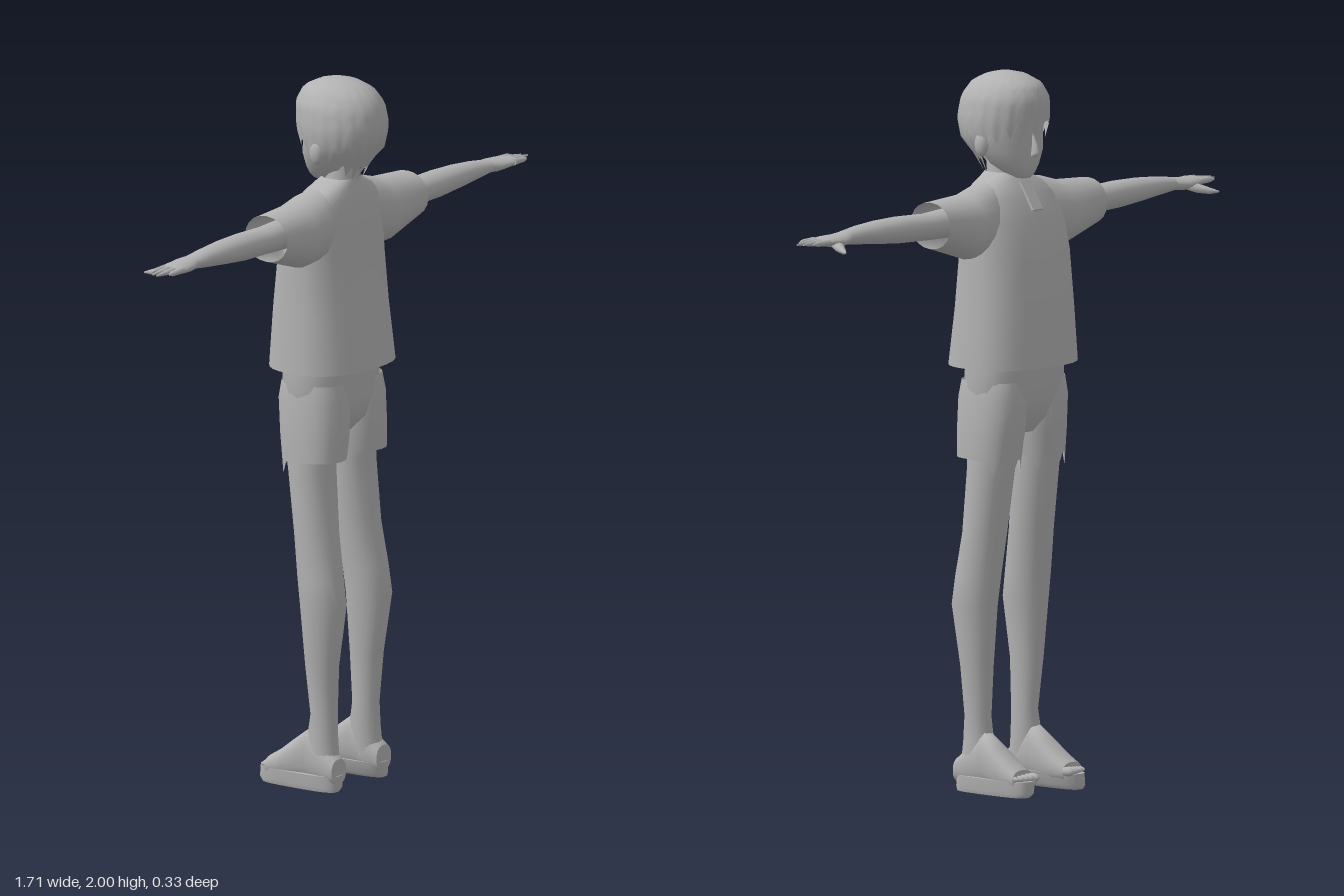
import * as THREE from 'three';

const clay = new THREE.MeshStandardMaterial({ color: 0xb2b2b2, side: THREE.DoubleSide });
clay.name = 'plain grey';

// Closed skin through rings of points, optionally capped at both ends
function skin(rings, cap = true) {
  const n = rings[0].length, pos = [], idx = [];
  rings.forEach(r => r.forEach(p => pos.push(...p)));
  for (let k = 0; k < rings.length - 1; k++) for (let i = 0; i < n; i++) {
    const j = (i + 1) % n, a = k * n + i, b = k * n + j;
    idx.push(a, a + n, b, b, a + n, b + n);
  }
  if (cap) [0, rings.length - 1].forEach((k, end) => {
    const r = rings[k], base = pos.length / 3;
    r.forEach(p => pos.push(...p));
    pos.push(...[0, 1, 2].map(c => r.reduce((s, p) => s + p[c], 0) / n));
    for (let i = 0; i < n; i++) {
      const j = (i + 1) % n;
      idx.push(base + n, base + (end ? j : i), base + (end ? i : j));
    }
  });
  const g = new THREE.BufferGeometry();
  g.setAttribute('position', new THREE.Float32BufferAttribute(pos, 3));
  g.setIndex(idx);
  g.computeVertexNormals();
  return g;
}

// Rounded sections [position, a0, a1, b0, b1] along an axis; (a, b) is xz for y, zy for x, yx for z
function loft(axis, sections, { n = 20, power = 1, cap = true } = {}) {
  const round = v => Math.sign(v) * Math.abs(v) ** power;
  return skin(sections.map(([t, a0, a1, b0, b1]) => Array.from({ length: n }, (_, i) => {
    const th = i / n * Math.PI * 2;
    const a = (a0 + a1) / 2 + (a1 - a0) / 2 * round(Math.cos(th));
    const b = (b0 + b1) / 2 + (b1 - b0) / 2 * round(Math.sin(th));
    return axis === 'y' ? [a, t, b] : axis === 'x' ? [t, b, a] : [b, a, t];
  })), cap);
}

function mirrored(geometry) {
  const g = geometry.clone().scale(-1, 1, 1), ix = g.index.array;
  for (let i = 0; i < ix.length; i += 3) [ix[i], ix[i + 1]] = [ix[i + 1], ix[i]];
  g.computeVertexNormals();
  return g;
}

// Bowl of hair with ridged locks and a jagged rim
function hairGeometry() {
  const profile = [ // y, front z, back z, half width
    [2, 0, 0.04, 0.015], [1.992, -0.04, 0.08, 0.05], [1.97, -0.085, 0.125, 0.085],
    [1.93, -0.105, 0.155, 0.11], [1.87, -0.1, 0.165, 0.119], [1.81, -0.088, 0.15, 0.112],
    [1.77, -0.07, 0.11, 0.085], [1.7, -0.05, 0.08, 0.05]];
  const at = y => {
    let k = 0;
    while (k < profile.length - 2 && profile[k + 1][0] > y) k++;
    const p = profile[k], q = profile[k + 1], f = (p[0] - y) / (p[0] - q[0]);
    return p.map((v, c) => v + (q[c] - v) * f);
  };
  const n = 60, rows = 14, rings = [];
  for (let r = rows; r >= 0; r--) rings.push(Array.from({ length: n }, (_, i) => {
    const th = i / n * Math.PI * 2, t = r / rows;
    const jag = [0, -0.025, 0.012][i % 3] + 0.008 * Math.sin(i * 2.3);
    const rim = 1.86 - 0.12 * (Math.sin(th) + 1) / 2 + jag;
    const y = 2 - (2 - rim) * t ** 1.6;
    const [, zf, zb, w] = at(y), s = 1 + 0.025 * t * ((i % 3) - 1.3);
    return [w * s * Math.cos(th), y, (zf + zb) / 2 + (zb - zf) / 2 * s * Math.sin(th)];
  }));
  const top = rings[rings.length - 1];
  rings.push(top.map(() => [0, 2, 0.02]));
  return skin(rings, false);
}

export function createModel() {
  const model = new THREE.Group();
  model.name = 'standing child';
  const add = (name, geometry, parent = model) => {
    const m = new THREE.Mesh(geometry, clay);
    m.name = name;
    parent.add(m);
    return m;
  };
  const pair = (name, geometry) => {
    add('left ' + name, geometry);
    add('right ' + name, mirrored(geometry));
  };

  // Head and neck; the face looks toward -z
  add('head', loft('y', [
    [1.708, -0.02, 0.02, -0.062, -0.02], [1.722, -0.042, 0.042, -0.072, 0.02],
    [1.745, -0.066, 0.066, -0.078, 0.06], [1.785, -0.092, 0.092, -0.082, 0.09],
    [1.83, -0.104, 0.104, -0.078, 0.12], [1.87, -0.106, 0.106, -0.085, 0.14],
    [1.93, -0.09, 0.09, -0.08, 0.13], [1.97, -0.04, 0.04, -0.04, 0.08]], { n: 28 }));
  add('neck', loft('y', [[1.66, -0.06, 0.06, -0.03, 0.08], [1.72, -0.046, 0.046, -0.015, 0.078],
    [1.8, -0.046, 0.046, -0.02, 0.085]]));
  add('nose', loft('y', [[1.768, -0.012, 0.012, -0.085, -0.06], [1.782, -0.012, 0.012, -0.106, -0.06],
    [1.805, -0.007, 0.007, -0.092, -0.06], [1.835, -0.004, 0.004, -0.079, -0.06]], { n: 10 }));
  add('hair', hairGeometry());
  pair('ear', new THREE.SphereGeometry(1, 12, 8).scale(0.016, 0.034, 0.022).translate(0.104, 1.805, 0.02));

  // Loose shirt
  add('shirt body', loft('y', [
    [1.19, -0.19, 0.19, -0.152, 0.145], [1.35, -0.178, 0.178, -0.142, 0.125],
    [1.5, -0.172, 0.172, -0.125, 0.108], [1.6, -0.17, 0.17, -0.098, 0.1],
    [1.66, -0.15, 0.15, -0.068, 0.092], [1.69, -0.115, 0.115, -0.048, 0.085],
    [1.71, -0.075, 0.075, -0.032, 0.08], [1.722, -0.052, 0.052, -0.022, 0.078]],
  { n: 28, power: 0.82, cap: false }));
  pair('sleeve', loft('x', [
    [0.06, -0.03, 0.07, 1.55, 1.705], [0.13, -0.072, 0.095, 1.5, 1.694],
    [0.19, -0.074, 0.092, 1.495, 1.677], [0.325, -0.062, 0.085, 1.538, 1.668]],
  { power: 0.95, cap: false }));
  const placket = add('collar placket', new THREE.BoxGeometry(0.04, 0.09, 0.008));
  placket.position.set(0, 1.66, -0.07);
  placket.rotation.x = 0.58;

  // Arms and hands
  pair('arm', loft('x', [
    [0.18, -0.03, 0.06, 1.56, 1.65], [0.34, -0.034, 0.058, 1.565, 1.64],
    [0.45, -0.028, 0.06, 1.568, 1.644], [0.54, -0.024, 0.058, 1.576, 1.642],
    [0.62, -0.016, 0.052, 1.584, 1.636], [0.69, -0.012, 0.046, 1.592, 1.626]], { n: 16 }));
  pair('palm', loft('x', [
    [0.67, -0.012, 0.046, 1.592, 1.628], [0.71, -0.026, 0.052, 1.588, 1.624],
    [0.75, -0.022, 0.058, 1.592, 1.622], [0.785, -0.01, 0.054, 1.598, 1.618]], { n: 14 }));
  [[0.83, -0.006], [0.85, 0.012], [0.856, 0.03], [0.825, 0.05]].forEach(([tip, z], i) =>
    pair('finger ' + (i + 1), loft('x', [
      [0.765, z - 0.01, z + 0.01, 1.599, 1.618], [0.81, z - 0.008, z + 0.008, 1.6, 1.616],
      [tip, z - 0.002, z + 0.002, 1.605, 1.61]], { n: 8 })));
  pair('thumb', loft('z', [[-0.075, 1.583, 1.588, 0.77, 0.774], [-0.055, 1.578, 1.596, 0.748, 0.769],
    [-0.025, 1.58, 1.606, 0.722, 0.762], [0.01, 1.592, 1.612, 0.7, 0.75]], { n: 8 }));

  // Shorts with ragged hems
  add('shorts seat', loft('y', [
    [1.0, -0.06, 0.06, -0.06, 0.05], [1.04, -0.13, 0.13, -0.09, 0.085],
    [1.1, -0.158, 0.158, -0.112, 0.1], [1.22, -0.152, 0.152, -0.12, 0.1]], { n: 24, power: 0.85 }));
  const shortsLeg = loft('y', [
    [0.935, 0.018, 0.167, -0.086, 0.096], [1.0, 0.008, 0.166, -0.098, 0.1],
    [1.1, 0.004, 0.16, -0.108, 0.1], [1.15, 0.02, 0.15, -0.1, 0.09]],
  { n: 24, power: 0.88, cap: false });
  const sp = shortsLeg.attributes.position;
  for (let i = 0; i < 24; i++) if (sp.getZ(i) < 0) sp.setY(i, i % 3 ? 0.93 : 0.892);
  shortsLeg.computeVertexNormals();
  pair('shorts leg', shortsLeg);

  // Bare legs
  pair('leg', loft('y', [
    [0.06, 0.062, 0.138, 0, 0.09], [0.14, 0.06, 0.136, -0.01, 0.082], [0.21, 0.063, 0.13, 0, 0.08],
    [0.35, 0.062, 0.144, -0.012, 0.088], [0.52, 0.048, 0.163, -0.024, 0.112],
    [0.6, 0.045, 0.162, -0.034, 0.1], [0.72, 0.036, 0.158, -0.048, 0.078],
    [0.9, 0.024, 0.16, -0.07, 0.062], [1.06, 0.03, 0.15, -0.08, 0.07]]));

  // Feet: shoe upper, wedge sole, toes
  pair('shoe upper', loft('z', [
    [-0.13, 0.02, 0.075, 0.062, 0.144], [-0.09, 0.015, 0.1, 0.056, 0.147],
    [-0.05, 0.015, 0.132, 0.056, 0.145], [0, 0.015, 0.17, 0.06, 0.14],
    [0.05, 0.015, 0.13, 0.062, 0.14], [0.096, 0.02, 0.092, 0.07, 0.138]], { power: 0.85 }));
  pair('sole', loft('y', [[0, 0.078, 0.142, -0.155, 0.096], [0.012, 0.066, 0.146, -0.164, 0.1],
    [0.045, 0.058, 0.148, -0.162, 0.1]], { n: 24, power: 0.65 }));
  for (let i = 0; i < 5; i++) {
    const r = 0.013 - i * 0.0012;
    pair('toe ' + (i + 1), new THREE.SphereGeometry(1, 10, 8)
      .scale(r * 0.85, r, 0.024).translate(0.072 + i * 0.016, 0.052, -0.14 + i * 0.004));
  }
  return model;
}
